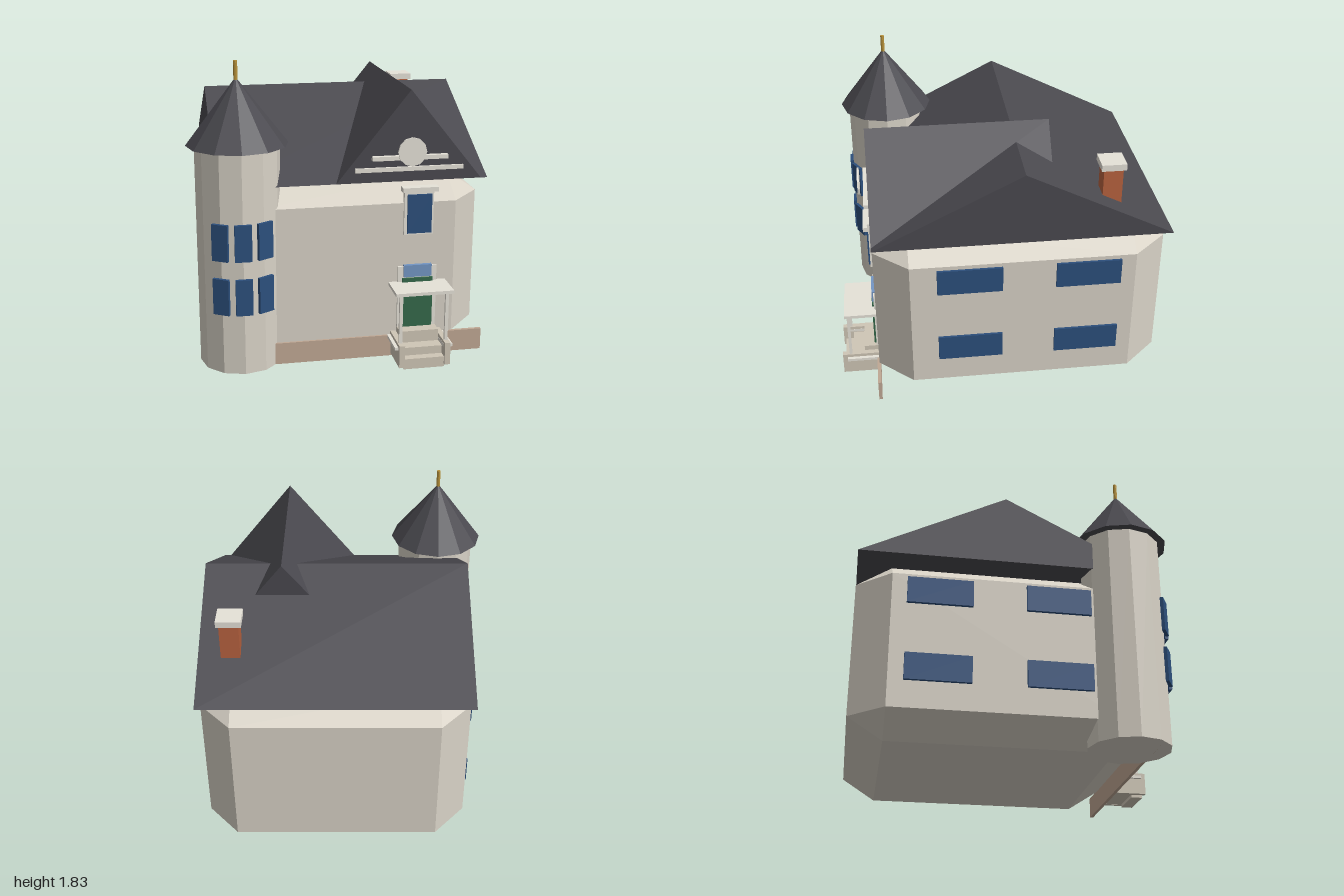
import * as THREE from 'three';
import { ConvexGeometry } from 'three/addons/geometries/ConvexGeometry.js';

const mat = (color) => new THREE.MeshStandardMaterial({ color, flatShading: true });
const M = {
  wall: mat(0xd8d2c6), roof: mat(0x4a494f), trim: mat(0xe6e2d8), glass: mat(0x2c4f7c),
  transom: mat(0x7396c4), door: mat(0x35684a), base: mat(0xc0a894), step: mat(0xcfc6b6),
  brick: mat(0xb8623f), gold: mat(0xb8923a),
};

export function createModel() {
  const house = new THREE.Group();
  house.name = 'house';

  const add = (name, geometry, material, parent = house) => {
    const mesh = new THREE.Mesh(geometry, material);
    mesh.name = name;
    parent.add(mesh);
    return mesh;
  };
  // Box given by its minimum and maximum along each axis
  const box = (name, material, x0, x1, y0, y1, z0, z1) => {
    const mesh = add(name, new THREE.BoxGeometry(x1 - x0, y1 - y0, z1 - z0), material);
    mesh.position.set((x0 + x1) / 2, (y0 + y1) / 2, (z0 + z1) / 2);
    return mesh;
  };
  // Triangular prism running along +z from z = 0
  const prism = (half, height, length) => {
    const shape = new THREE.Shape([
      new THREE.Vector2(-half, 0), new THREE.Vector2(half, 0), new THREE.Vector2(0, height),
    ]);
    return new THREE.ExtrudeGeometry(shape, { depth: length, bevelEnabled: false });
  };

  // Main body: a block with every edge chamfered
  const half = [0.805, 0.555, 0.885], cut = [0.19, 0.135, 0.21];
  const points = [];
  for (const sx of [-1, 1]) for (const sy of [-1, 1]) for (const sz of [-1, 1]) {
    const s = [sx, sy, sz];
    for (let outer = 0; outer < 3; outer++) {
      points.push(new THREE.Vector3(...s.map((v, i) => v * (half[i] - (i === outer ? 0 : cut[i])))));
    }
  }
  add('body', new ConvexGeometry(points), M.wall).position.set(0.075, 0.555, -0.115);

  // Main roof with its ridge along x, and the front gable with its ridge along z
  const roof = add('mainRoof', prism(0.885, 0.445, 1.615), M.roof);
  roof.rotation.y = Math.PI / 2;
  roof.position.set(-0.735, 1.11, -0.115);
  add('frontGable', prism(0.44, 0.545, 1.09), M.roof).position.set(0.4, 1.11, -0.32);

  // Gable ornament
  box('gableLowerBar', M.trim, 0.07, 0.725, 1.175, 1.2, 0.76, 0.785);
  box('gableUpperBar', M.trim, 0.17, 0.625, 1.245, 1.27, 0.76, 0.8);
  const disc = add('gableDisc', new THREE.CylinderGeometry(0.086, 0.086, 0.012, 12), M.trim);
  disc.rotation.x = Math.PI / 2;
  disc.position.set(0.4, 1.3, 0.825);

  // Tower
  const tower = new THREE.Group();
  tower.name = 'tower';
  tower.position.set(-0.6, 0, 0.63);
  house.add(tower);
  add('towerWall', new THREE.CylinderGeometry(0.25, 0.25, 1.345, 12), M.wall, tower).position.y = 0.6725;
  add('towerRoof', new THREE.ConeGeometry(0.3, 0.39, 12), M.roof, tower).position.y = 1.54;
  add('finial', new THREE.CylinderGeometry(0.012, 0.012, 0.12, 8), M.gold, tower).position.y = 1.77;
  for (const y of [0.49, 0.82]) for (const side of [-1, 0, 1]) {
    const a = side * Math.PI / 6;
    const pane = add('towerWindow', new THREE.BoxGeometry(0.1, 0.22, 0.02), M.glass, tower);
    pane.position.set(0.26 * Math.sin(a), y, 0.26 * Math.cos(a));
    pane.rotation.y = a;
  }

  // Side windows, two rows of two on each side
  for (const [x0, x1] of [[0.87, 0.895], [-0.75, -0.72]])
    for (const [y0, y1] of [[0.3, 0.465], [0.785, 0.95]])
      for (const [z0, z1] of [[0.01, 0.4], [-0.7, -0.31]])
        box('sideWindow', M.glass, x0, x1, y0, y1, z0, z1);

  // Upper front window
  box('upperWindowFrame', M.trim, 0.37, 0.55, 0.78, 1.05, 0.76, 0.785);
  box('upperWindowPane', M.glass, 0.388, 0.537, 0.79, 1.03, 0.76, 0.795);
  box('upperWindowLintel', M.trim, 0.353, 0.57, 1.05, 1.078, 0.76, 0.815);

  // Foundation band and door
  box('foundationBand', M.base, -0.73, 0.88, 0, 0.135, 0.762, 0.783);
  box('doorFrame', M.trim, 0.34, 0.58, 0.13, 0.578, 0.76, 0.783);
  box('door', M.door, 0.365, 0.555, 0.19, 0.505, 0.76, 0.795);
  box('transom', M.transom, 0.375, 0.547, 0.512, 0.587, 0.76, 0.793);

  // Porch: steps, side walls, slab, posts and canopy
  box('lowerStep', M.step, 0.335, 0.585, 0, 0.065, 0.91, 0.985);
  box('middleStep', M.step, 0.335, 0.585, 0.02, 0.115, 0.77, 0.935);
  box('doorSill', M.step, 0.34, 0.58, 0.115, 0.188, 0.77, 0.86);
  for (const side of [-1, 1]) {
    const x = 0.46 + side * 0.14;
    box('porchSideWall', M.step, x - 0.017, x + 0.017, 0.018, 0.158, 0.77, 1.0);
    box('porchPost', M.trim, x - 0.01, x + 0.01, 0.13, 0.465, 0.94, 0.957);
    const rail = 0.46 + side * 0.15;
    box('porchSlab', M.trim, rail - 0.028, rail + 0.028, 0.12, 0.138, 0.77, 0.97);
  }
  box('canopy', M.trim, 0.285, 0.637, 0.46, 0.48, 0.77, 0.97);

  // Chimney
  box('chimney', M.brick, 0.63, 0.745, 1.07, 1.48, -0.705, -0.59);
  box('chimneyCap', M.trim, 0.613, 0.76, 1.48, 1.52, -0.72, -0.573);

  return house;
}
